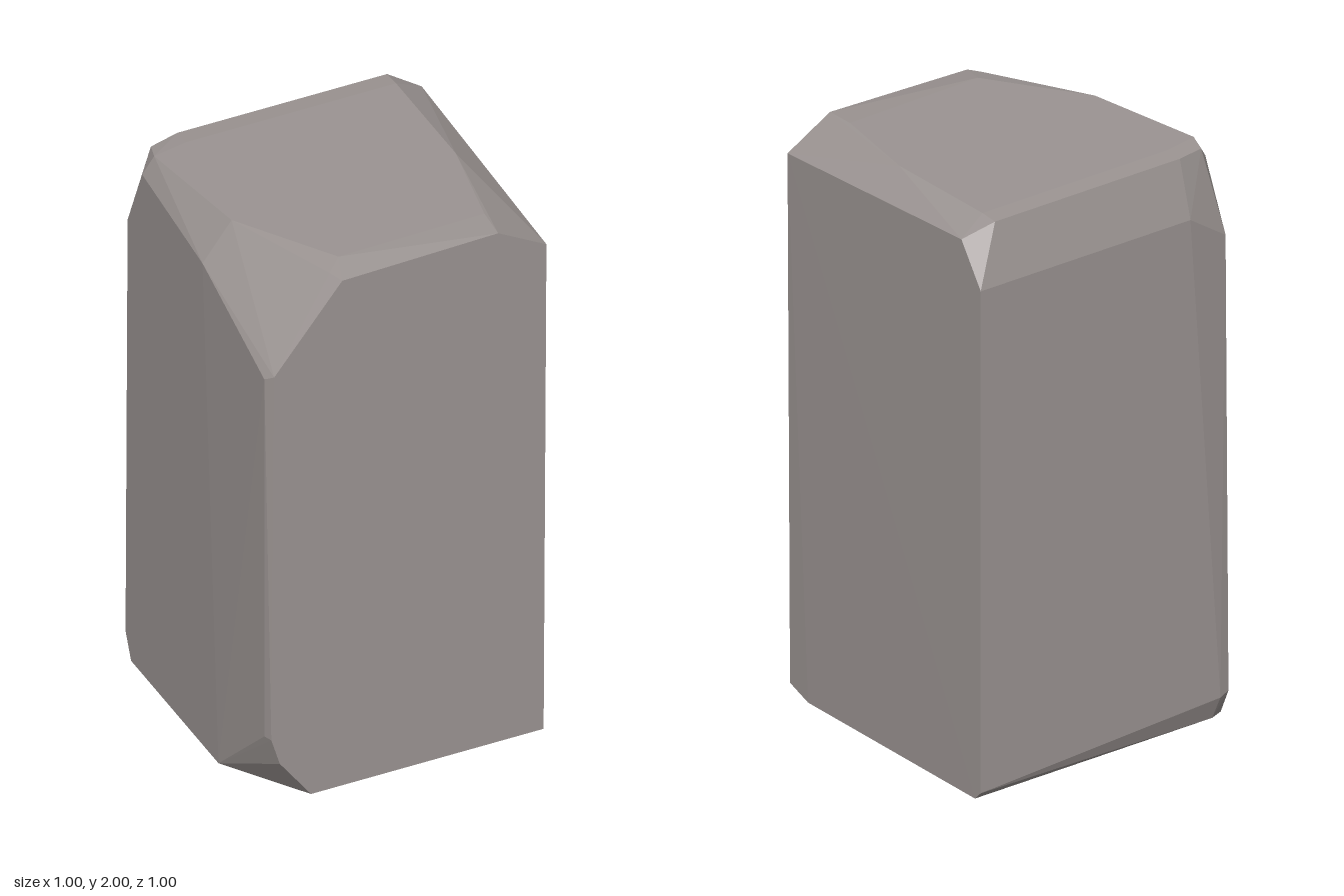
import * as THREE from 'three';
import { ConvexGeometry } from 'three/addons/geometries/ConvexGeometry.js';

// Corners of the chamfered block, grouped by region
const topRim = [
  [0.4, 2, -0.38], [0.4, 1.995, -0.445], [0.4, 2, 0.05], [0.335, 2, 0.39], [0.33, 1.995, 0.5],
  [-0.22, 1.98, 0.5], [-0.24, 1.985, 0.45], [-0.185, 2, 0.4], [-0.4, 2, 0.07],
  [-0.465, 2, -0.355], [-0.445, 1.99, -0.42], [-0.34, 1.995, -0.445], [-0.34, 2, -0.38],
];
const shoulders = [
  [0.5, 1.9, 0.5], [0.5, 1.91, 0.05], [0.5, 1.945, -0.4], [0.5, 1.8, -0.5],
  [-0.34, 1.8, -0.5], [-0.5, 1.69, -0.475], [-0.5, 1.93, -0.37],
  [-0.5, 1.86, 0.065], [-0.48, 1.66, 0.47], [-0.46, 1.68, 0.5],
];
const foot = [
  [0.49, 0.03, 0.5], [0.495, 0, 0.4], [0.5, 0.03, -0.5], [0.5, 0, -0.47],
  [-0.46, 0.08, -0.5], [-0.5, 0.09, -0.49], [-0.5, 0, -0.45], [-0.45, 0, -0.47],
  [-0.5, 0, 0.18], [-0.48, 0.28, 0.47], [-0.47, 0.28, 0.5],
  [-0.44, 0.18, 0.5], [-0.33, 0.03, 0.5], [-0.3, 0, 0.4],
];

export function createModel() {
  const group = new THREE.Group();
  group.name = 'stoneBlock';

  const stone = new THREE.MeshStandardMaterial({ color: 0x9b9492 });
  stone.name = 'warm grey stone';

  // One solid convex block with chipped, bevelled edges
  const corners = [...topRim, ...shoulders, ...foot].map((p) => new THREE.Vector3(...p));
  const block = new THREE.Mesh(new ConvexGeometry(corners), stone);
  block.name = 'block';
  group.add(block);
  return group;
}
